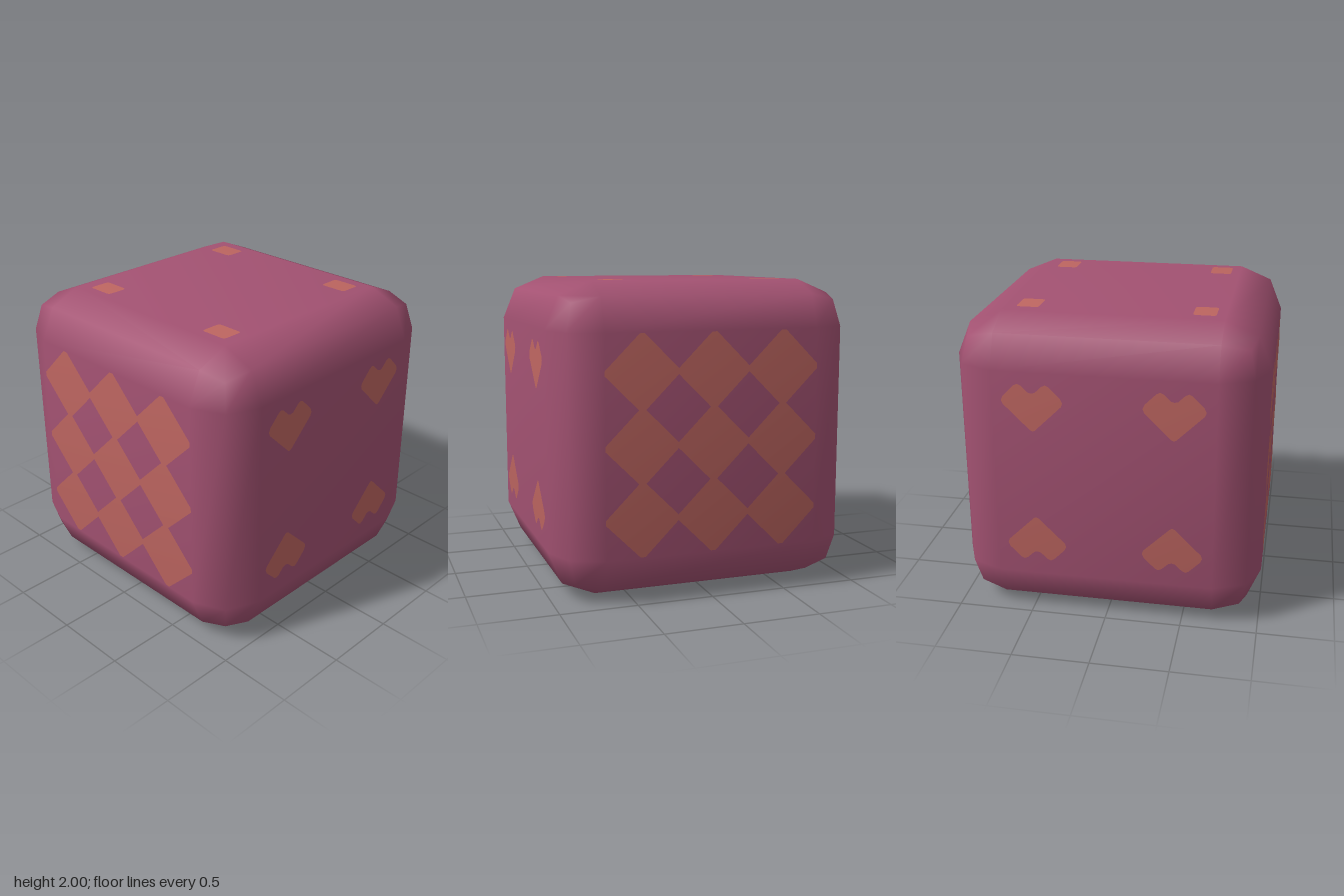
import * as THREE from 'three';
import { RoundedBoxGeometry } from 'three/addons/geometries/RoundedBoxGeometry.js';
import { mergeVertices } from 'three/addons/utils/BufferGeometryUtils.js';

const bodyPlum = new THREE.MeshStandardMaterial({ color: 0xa35272 });
const markCoral = new THREE.MeshStandardMaterial({ color: 0xbd6560 });

// Closed outline from one half, mirrored across the vertical axis
function mirroredShape(half) {
  const right = half.map(([x, y]) => new THREE.Vector2(x, y));
  const left = half.filter(([x]) => x > 0).reverse().map(([x, y]) => new THREE.Vector2(-x, y));
  return new THREE.Shape([...right, ...left]);
}

const heart = mirroredShape([
  [0, -0.2], [0.015, -0.193], [0.185, -0.025], [0.194, 0], [0.182, 0.027],
  [0.11, 0.1], [0.088, 0.111], [0.065, 0.1], [0.022, 0.058], [0, 0.052],
]);
const diamond = mirroredShape([
  [0.016, -0.236], [0.236, -0.016], [0.236, 0.016], [0.016, 0.236],
]);
const pip = mirroredShape([
  [0.052, -0.093], [0.067, -0.088], [0.073, -0.073], [0.073, 0.073], [0.067, 0.088], [0.052, 0.093],
]);

// Flat mark on a face, with normals following the soft swell of the cube
function addMark(face, name, shape, x, y, flip = false) {
  const geometry = new THREE.ShapeGeometry(shape);
  if (flip) geometry.rotateZ(Math.PI);
  geometry.translate(x, y, 1.002);
  const p = geometry.attributes.position;
  for (let i = 0; i < p.count; i++) {
    const n = new THREE.Vector3(p.getX(i) * 0.09, p.getY(i) * 0.09, 1).normalize();
    geometry.attributes.normal.setXYZ(i, n.x, n.y, n.z);
  }
  const mesh = new THREE.Mesh(geometry, markCoral);
  mesh.name = name;
  face.add(mesh);
}

export function createModel() {
  const model = new THREE.Group();
  model.name = 'die';

  // Cube with two-step rounded edges and welded smooth normals
  let geometry = new RoundedBoxGeometry(2, 2, 2, 1, 0.3);
  geometry.deleteAttribute('normal');
  geometry.deleteAttribute('uv');
  geometry.clearGroups();
  geometry = mergeVertices(geometry, 1e-4);
  geometry.computeVertexNormals();
  const body = new THREE.Mesh(geometry, bodyPlum);
  body.name = 'body';
  body.position.y = 1;
  model.add(body);

  const addFace = (name, rx, ry) => {
    const face = new THREE.Group();
    face.name = name;
    face.position.y = 1;
    face.rotation.set(rx, ry, 0);
    model.add(face);
    return face;
  };

  // Four hearts on front and back, the lower pair upside down
  for (const [name, ry] of [['frontHearts', 0], ['backHearts', Math.PI]]) {
    const face = addFace(name, 0, ry);
    for (const x of [-0.445, 0.44]) {
      addMark(face, 'heart', heart, x, 0.513);
      addMark(face, 'heart', heart, x, -0.487, true);
    }
  }

  // Nine touching diamonds on each side
  for (const [name, ry] of [['leftDiamonds', Math.PI / 2], ['rightDiamonds', -Math.PI / 2]]) {
    const face = addFace(name, 0, ry);
    for (let i = -1; i <= 1; i++) {
      for (let j = -1; j <= 1; j++) addMark(face, 'diamond', diamond, i * 0.467, j * 0.458);
    }
  }

  // Four small pips on top and bottom
  for (const [name, rx] of [['topPips', -Math.PI / 2], ['bottomPips', Math.PI / 2]]) {
    const face = addFace(name, rx, 0);
    for (const x of [-0.567, 0.558]) {
      for (const y of [-0.538, 0.527]) addMark(face, 'pip', pip, x, y);
    }
  }

  return model;
}
